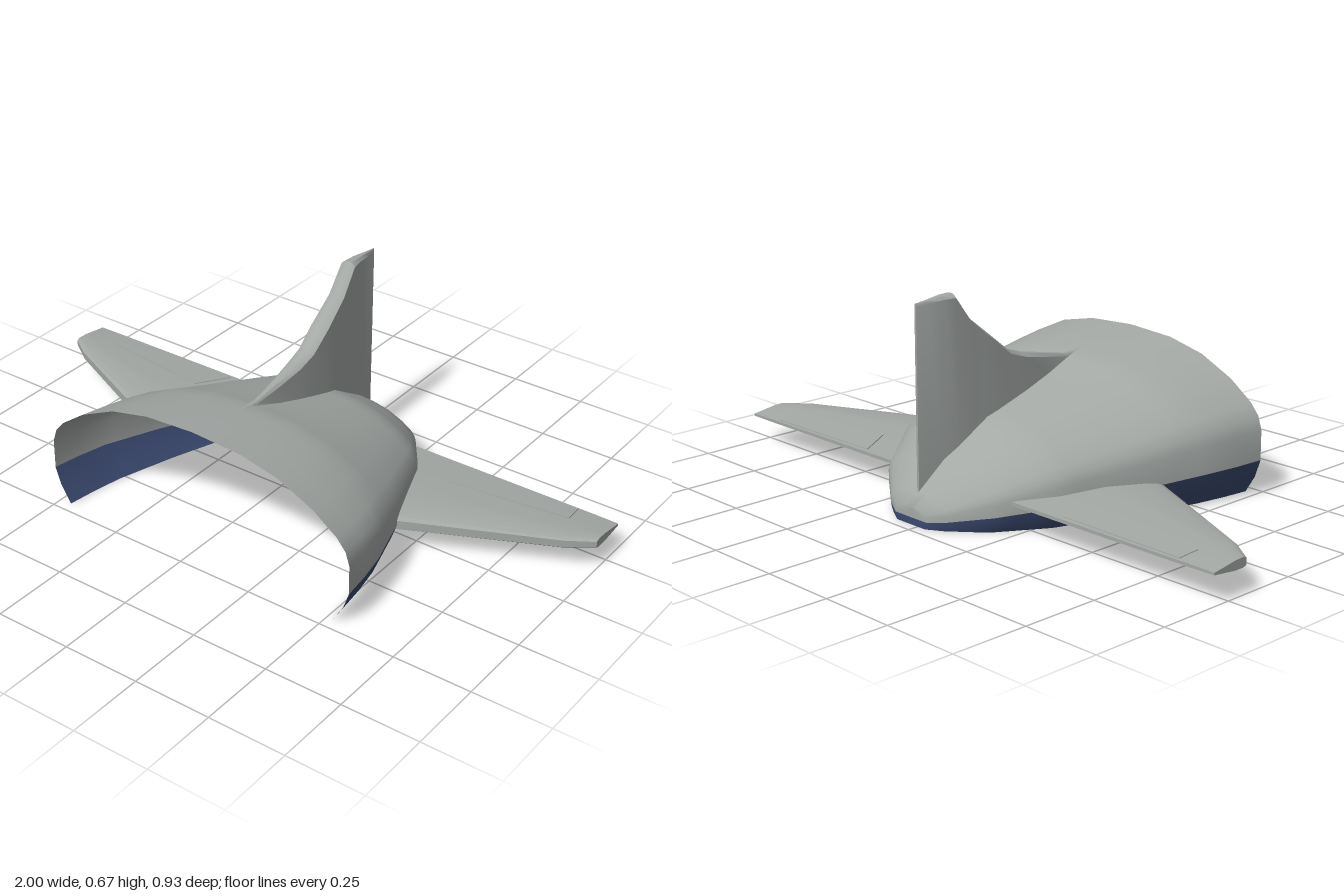
import * as THREE from 'three';
import { toCreasedNormals } from 'three/addons/utils/BufferGeometryUtils.js';

const CX = 0.03; // centre line of hull and fin

// Piecewise-linear lookup in [z, value] pairs sorted from front to back
function at(table, z) {
  if (z >= table[0][0]) return table[0][1];
  for (let i = 1; i < table.length; i++) {
    const [z0, v0] = table[i - 1], [z1, v1] = table[i];
    if (z >= z1) return v0 + (v1 - v0) * (z0 - z) / (z0 - z1);
  }
  return table[table.length - 1][1];
}

// Skin over rows of points; one column of quads may be left out
function loft(rows, { flip = false, skip = -1, crease = 0.6 } = {}) {
  const n = rows[0].length, index = [];
  for (let i = 0; i < rows.length - 1; i++) {
    for (let j = 0; j < n - 1; j++) {
      if (j === skip) continue;
      const a = i * n + j, b = a + n, c = a + 1, d = b + 1;
      if (flip) index.push(a, c, b, c, d, b);
      else index.push(a, b, c, c, b, d);
    }
  }
  const geo = new THREE.BufferGeometry();
  geo.setAttribute('position', new THREE.Float32BufferAttribute(rows.flat(2), 3));
  geo.setIndex(index);
  return toCreasedNormals(geo, crease);
}

// Hull and fin profiles along z
const halfWidth = [[0.465, 0.545], [0.37, 0.532], [0.27, 0.512], [0.08, 0.45], [-0.19, 0.345],
  [-0.35, 0.235], [-0.435, 0.125], [-0.465, 0.068]];
const hullTop = [[0.465, 0.44], [0.27, 0.412], [0.2, 0.4], [0.08, 0.357], [-0.19, 0.278],
  [-0.35, 0.178], [-0.435, 0.095], [-0.465, 0.057]];
const beltTop = [[0.465, 0.113], [0.27, 0.107], [0.08, 0.094], [-0.19, 0.07], [-0.35, 0.05], [-0.465, 0.022]];
const finHalf = [[0.24, 0], [0.2, 0.008], [0.08, 0.02], [-0.02, 0.031], [-0.15, 0.036],
  [-0.3, 0.029], [-0.435, 0.004], [-0.437, 0]];
const finTop = [[0.24, 0.406], [0.17, 0.402], [-0.02, 0.44], [-0.085, 0.462], [-0.24, 0.585],
  [-0.3, 0.668], [-0.34, 0.668], [-0.435, 0.658]];
const stations = [0.465, 0.37, 0.27, 0.24, 0.2, 0.17, 0.08, -0.02, -0.085, -0.15, -0.19, -0.24,
  -0.3, -0.35, -0.395, -0.435, -0.465];

// Hull arch as fractions of half width and of height above the belt
const arch = [[1, 0], [1, 0.29], [0.975, 0.42], [0.92, 0.53], [0.77, 0.71], [0.55, 0.88], [0.31, 0.97]];

function hullRow(z, closed) {
  const w = closed ? 0 : at(halfWidth, z), slot = closed ? 0 : at(finHalf, z);
  const b = at(beltTop, z), t = at(hullTop, z);
  const half = arch.map(([u, v]) => [u * w, b + v * (t - b)]);
  half.push([slot, t]);
  const right = half.map(([x, y]) => [CX + x, y, z]);
  const left = half.map(([x, y]) => [CX - x, y, z]).reverse();
  return [...right, ...left];
}

function beltRow(z, side, closed) {
  const w = closed ? 0 : at(halfWidth, z), b = at(beltTop, z);
  return [[0.9, 0], [0.965, 0.5], [1, 1]].map(([u, v]) => [CX + side * u * w, v * b, z]);
}

function finRow(z) {
  const w = at(finHalf, z), base = at(hullTop, z), top = Math.max(at(finTop, z), base);
  const drop = Math.min(0.012, (top - base) / 2);
  const half = [[w, base], [0.85 * w, top - drop], [0.45 * w, top - drop * 0.15]];
  return [
    ...half.map(([x, y]) => [CX + x, y, z]),
    [CX, top, z],
    ...half.map(([x, y]) => [CX - x, y, z]).reverse(),
  ];
}

// Wing spans: leading and trailing edge points in plan, and thickness
const spans = [
  { lead: [0.46, 0.09], trail: [0.21, -0.31], thick: 0.048 },
  { lead: [0.92, -0.125], trail: [0.92, -0.31], thick: 0.038 },
  { lead: [1, -0.18], trail: [1, -0.31], thick: 0.03 },
];
const airfoil = [[0, 0.3], [0.03, 0.42], [0.12, 0.5], [0.35, 0.48], [0.7, 0.28], [1, 0.12]];

function wingPoint(side, s, chord, v) {
  const x = s.lead[0] + (s.trail[0] - s.lead[0]) * chord;
  const z = s.lead[1] + (s.trail[1] - s.lead[1]) * chord;
  return [side * x, 0.094 - 0.002 * chord + v * s.thick, z];
}

function wingRows(side) {
  const loop = [...airfoil, ...airfoil.map(([c, v]) => [c, -v]).reverse(), airfoil[0]];
  const rows = spans.map((s) => loop.map(([c, v]) => wingPoint(side, s, c, v)));
  const cap = (s) => loop.map(([c]) => wingPoint(side, s, c, 0));
  return [cap(spans[0]), ...rows, cap(spans[2])];
}

// Control surface: a thin raised plate lying on the wing skin
function elevonRows(side, face) {
  const mix = (a, b, t) => a + (b - a) * t;
  const [r, m] = spans;
  return [0.3, 0.301, 0.93, 0.931].map((t, i) => {
    const s = {
      lead: [mix(r.lead[0], m.lead[0], t), mix(r.lead[1], m.lead[1], t)],
      trail: [mix(r.trail[0], m.trail[0], t), mix(r.trail[1], m.trail[1], t)],
      thick: mix(r.thick, m.thick, t),
    };
    return [0.62, 0.621, 0.7, 0.96, 0.961].map((c, j) => {
      const v = c < 0.7 ? mix(0.48, 0.28, (c - 0.35) / 0.35) : mix(0.28, 0.12, (c - 0.7) / 0.3);
      const p = wingPoint(side, s, c, face * v);
      const edge = i === 0 || i === 3 || j === 0 || j === 4;
      p[1] += face * (edge ? -0.001 : 0.003);
      return p;
    });
  });
}

export function createModel() {
  const grey = new THREE.MeshStandardMaterial({ color: 0xa3a8a5, side: THREE.DoubleSide });
  grey.name = 'hull grey';
  const blue = new THREE.MeshStandardMaterial({ color: 0x3b4a70, side: THREE.DoubleSide });
  blue.name = 'belly blue';

  const model = new THREE.Group();
  model.name = 'aircraftTail';
  const add = (name, geo, mat) => {
    const mesh = new THREE.Mesh(geo, mat);
    mesh.name = name;
    model.add(mesh);
  };

  // Open hull shell, slotted under the fin and closed at the tail end
  const end = stations[stations.length - 1];
  const hull = [...stations.map((z) => hullRow(z)), hullRow(end, true)];
  add('hullShell', loft(hull, { skip: arch.length, crease: 0.9 }), grey);

  // Hollow tail fin
  const finStations = [...stations.filter((z) => z <= 0.24 && z > -0.435), -0.34, -0.435, -0.437];
  finStations.sort((a, b) => b - a);
  add('tailFin', loft(finStations.map(finRow)), grey);

  // Mirrored belts, wings and control surfaces
  for (const side of [1, -1]) {
    const label = side > 0 ? 'left' : 'right';
    const flip = side < 0;
    const belt = [...stations.map((z) => beltRow(z, side)), beltRow(end, side, true)];
    add(label + 'BellyBelt', loft(belt, { flip }), blue);
    add(label + 'Wing', loft(wingRows(side), { flip }), grey);
    for (const face of [1, -1]) {
      const name = label + (face > 0 ? 'UpperElevon' : 'LowerElevon');
      add(name, loft(elevonRows(side, face), { flip: side * face < 0, crease: 0.3 }), grey);
    }
  }
  return model;
}
